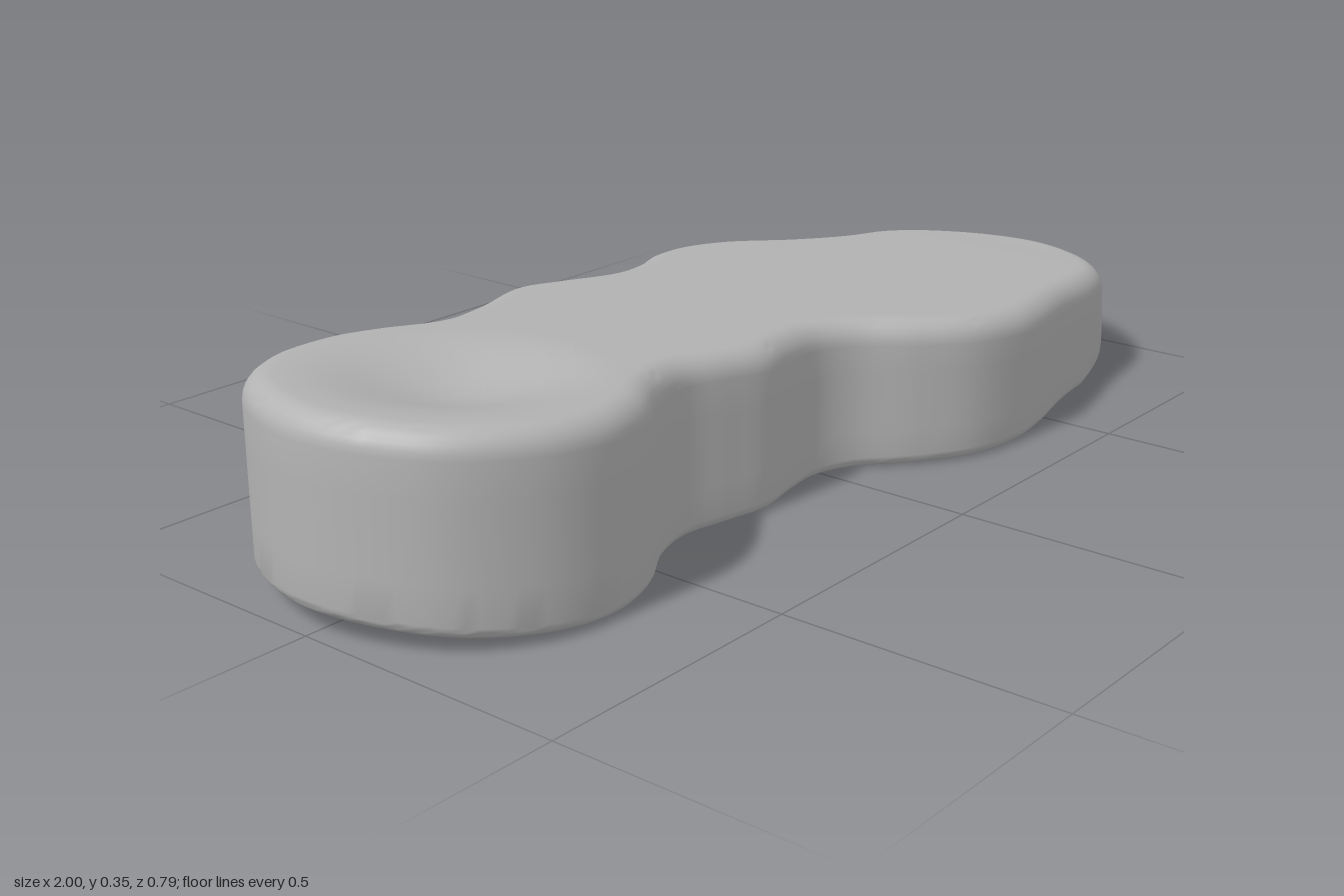
import * as THREE from 'three';
import { toCreasedNormals } from 'three/addons/utils/BufferGeometryUtils.js';

// plan outline [x, z], clockwise seen from above
const OUTLINE = [
  [-1, 0], [-0.93, -0.2], [-0.82, -0.285], [-0.68, -0.315], [-0.58, -0.303], [-0.47, -0.275],
  [-0.36, -0.3], [-0.2, -0.36], [-0.1, -0.347], [0.02, -0.325], [0.12, -0.345], [0.2, -0.38],
  [0.3, -0.395], [0.42, -0.37], [0.55, -0.295], [0.66, -0.25], [0.78, -0.225], [0.88, -0.175],
  [0.965, -0.08], [1, 0.04], [0.98, 0.14], [0.92, 0.23], [0.84, 0.29], [0.75, 0.32],
  [0.6, 0.345], [0.45, 0.38], [0.36, 0.39], [0.24, 0.37], [0.14, 0.31], [0.05, 0.235],
  [-0.02, 0.21], [-0.1, 0.218], [-0.19, 0.235], [-0.28, 0.22], [-0.37, 0.205], [-0.46, 0.23],
  [-0.56, 0.29], [-0.67, 0.318], [-0.8, 0.295], [-0.93, 0.2],
];
const SEGMENTS = 240;
const TOP_RADIUS = 0.045;

// sloping top with a shallow round dimple
function topY(x, z) {
  const d = Math.min(Math.hypot(x + 0.68, z) / 0.26, 1);
  return 0.282 - 0.0735 * x - 0.02 * (1 + Math.cos(Math.PI * d));
}

// flat underside, curling up at one end and bevelled at the other
function bottomY(x) {
  return 0.003 + 0.04 * Math.max(0, (-0.55 - x) / 0.45) ** 2 + 0.31 * Math.max(0, x - 0.7);
}

function bodyGeometry() {
  const curve = new THREE.CatmullRomCurve3(
    OUTLINE.map(([x, z]) => new THREE.Vector3(x, 0, z)), true, 'centripetal');
  const edge = [];
  for (let i = 0; i < SEGMENTS; i++) {
    const p = curve.getPointAt(i / SEGMENTS);
    const t = curve.getTangentAt(i / SEGMENTS);
    edge.push({ x: p.x, z: p.z, nx: t.z, nz: -t.x });
  }
  const inset = (e, d) => [e.x - e.nx * d, e.z - e.nz * d];
  const toSpine = ([x, z], k) => {
    const sx = THREE.MathUtils.clamp(x, -0.68, 0.7);
    return [x + (sx - x) * k, z + (0.02 - z) * k];
  };
  const bottomRadius = (x) => 0.02 - 0.018 * THREE.MathUtils.smoothstep(x, 0.68, 0.8);

  // rings from underside centre, round the wall, to top centre
  const rings = [];
  for (let j = 0; j < 10; j++) rings.push((e) => {
    const [x, z] = toSpine(inset(e, bottomRadius(e.x)), 1 - j / 10);
    return [x, bottomY(x), z];
  });
  for (let j = 0; j <= 5; j++) rings.push((e) => {
    const a = j / 5 * Math.PI / 2, r = bottomRadius(e.x);
    const [x, z] = inset(e, r * (1 - Math.sin(a)));
    return [x, bottomY(x) + r * (1 - Math.cos(a)), z];
  });
  for (let j = 1; j < 4; j++) rings.push((e) => {
    const low = bottomY(e.x) + bottomRadius(e.x), high = topY(e.x, e.z) - TOP_RADIUS;
    return [e.x, low + (high - low) * j / 4, e.z];
  });
  for (let j = 0; j <= 6; j++) rings.push((e) => {
    const a = j / 6 * Math.PI / 2;
    const [x, z] = inset(e, TOP_RADIUS * (1 - Math.cos(a)));
    return [x, topY(x, z) - TOP_RADIUS * (1 - Math.sin(a)), z];
  });
  for (let j = 1; j <= 28; j++) rings.push((e) => {
    const [x, z] = toSpine(inset(e, TOP_RADIUS), j / 28);
    return [x, topY(x, z), z];
  });

  const positions = [], index = [];
  rings.forEach((ring, j) => edge.forEach((e, i) => {
    const [x, y, z] = ring(e);
    // the bevelled end leans back slightly
    const lean = 0.28 * Math.max(0, y - 0.1) * THREE.MathUtils.smoothstep(x, 0.72, 0.98);
    positions.push(x - lean, y, z);
    if (j === rings.length - 1) return;
    const a = j * SEGMENTS + i, b = j * SEGMENTS + (i + 1) % SEGMENTS;
    index.push(a, a + SEGMENTS, b, b, a + SEGMENTS, b + SEGMENTS);
  }));
  const geometry = new THREE.BufferGeometry();
  geometry.setAttribute('position', new THREE.Float32BufferAttribute(positions, 3));
  geometry.setIndex(index);
  return toCreasedNormals(geometry, 0.6);
}

export function createModel() {
  const group = new THREE.Group();
  group.name = 'contouredGrip';
  const grey = new THREE.MeshStandardMaterial({ color: 0xb3b3b3 });
  grey.name = 'grey';
  const body = new THREE.Mesh(bodyGeometry(), grey);
  body.name = 'body';
  group.add(body);
  return group;
}
